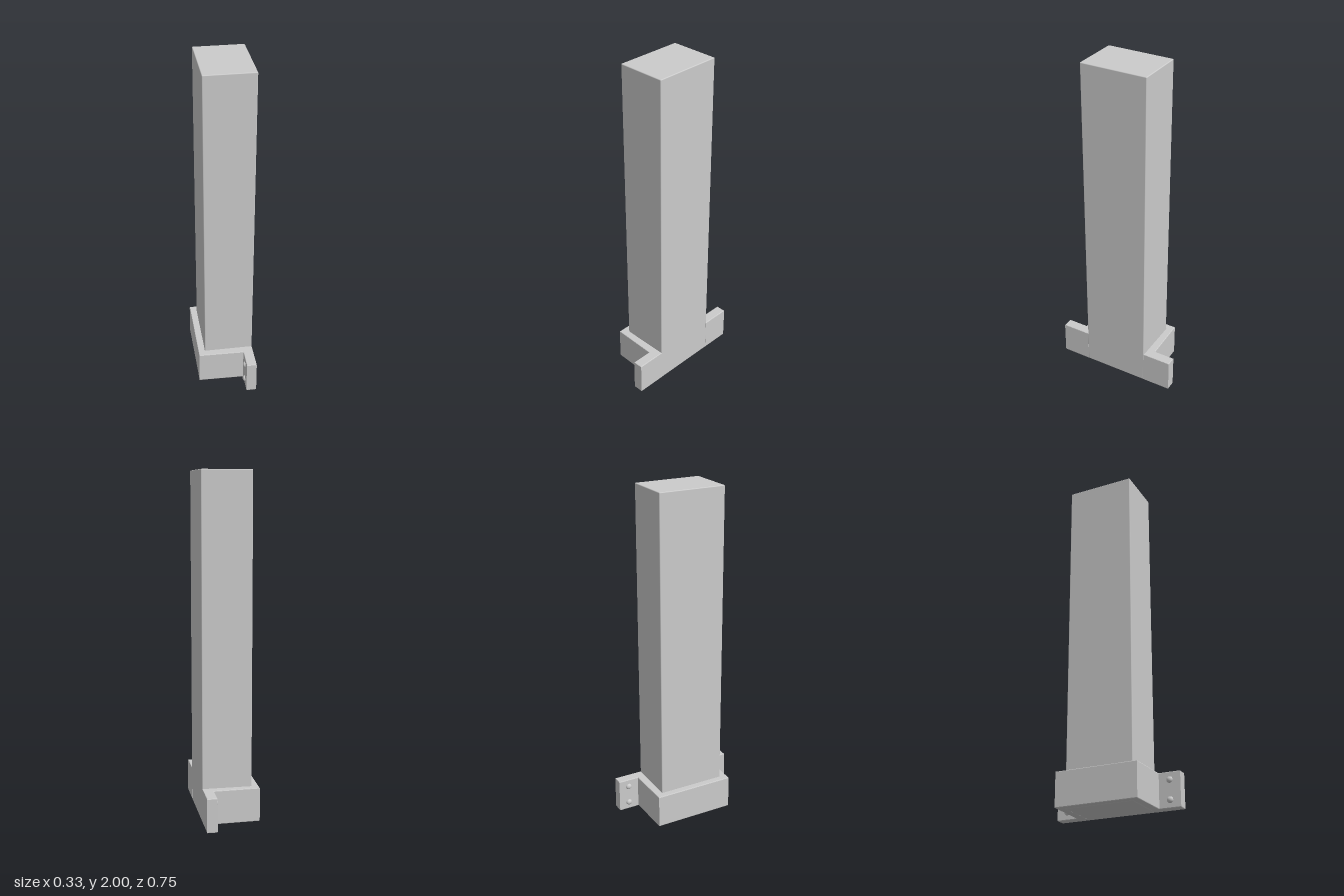
import * as THREE from 'three';
import { RoundedBoxGeometry } from 'three/addons/geometries/RoundedBoxGeometry.js';

export function createModel() {
  const model = new THREE.Group();
  const material = new THREE.MeshStandardMaterial({ color: 0xcccccc });
  const add = (name, geometry, x = 0, y = 0, z = 0) => {
    const mesh = new THREE.Mesh(geometry, material);
    mesh.name = name;
    mesh.position.set(x, y, z);
    model.add(mesh);
  };

  // Tall square-edged post, flush with the mounting face
  add('post', new RoundedBoxGeometry(0.29, 2, 0.4, 2, 0.005), 0.02, 1, 0);

  // Hat-shaped bracket wrapped around the foot: half profile, mirrored
  const half = [[-0.165, 0.241], [0.105, 0.248], [0.105, 0.373], [0.165, 0.373], [0.165, 0.198], [-0.123, 0.198]];
  const profile = [...half, ...half.map(([x, z]) => [x, -z]).reverse()];
  const bevel = 0.004;
  const bracket = new THREE.ExtrudeGeometry(
    new THREE.Shape(profile.map(([x, z]) => new THREE.Vector2(x, z))),
    { depth: 0.2 - 2 * bevel, bevelThickness: bevel, bevelSize: bevel, bevelOffset: -bevel, bevelSegments: 2 }
  );
  bracket.rotateX(-Math.PI / 2).translate(0, bevel, 0);
  add('bracket', bracket);

  // Domed screw heads on the inner side of both flanges
  const head = new THREE.SphereGeometry(0.018, 20, 8, 0, Math.PI * 2, 0, Math.PI / 2);
  head.scale(1, 0.75, 1).rotateZ(Math.PI / 2);
  for (const z of [-0.311, 0.311])
    for (const y of [0.045, 0.155]) add('screwHead', head, 0.105, y, z);

  return model;
}
